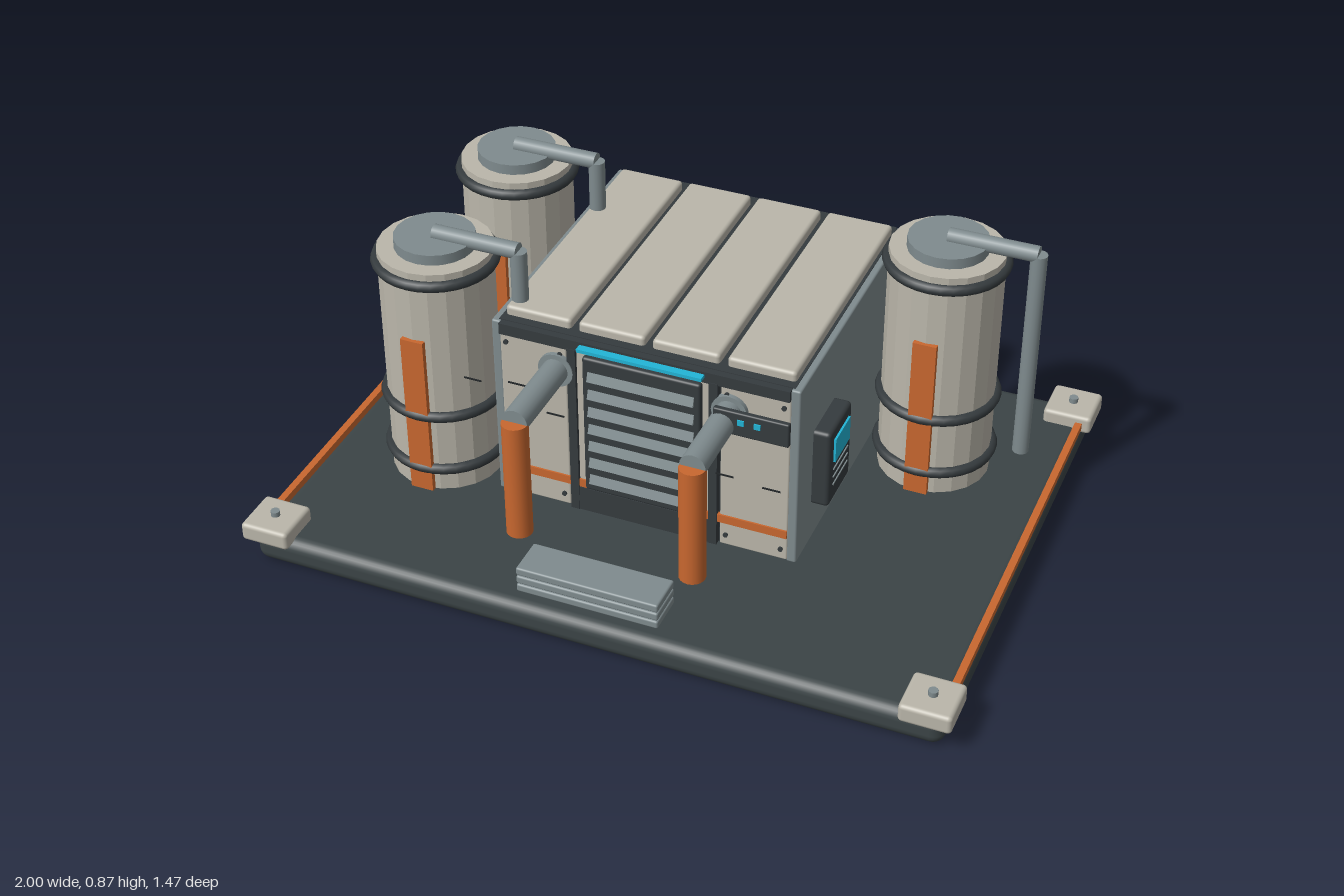
import * as THREE from 'three';
import { RoundedBoxGeometry } from 'three/addons/geometries/RoundedBoxGeometry.js';

const mat = (color, flatShading = false) => new THREE.MeshStandardMaterial({ color, flatShading });
const M = {
  deck: mat(0x3b4446), dark: mat(0x353b3e), black: mat(0x222628), beige: mat(0xbab6aa),
  tank: mat(0xbab6aa, true), grey: mat(0x7f8b8e), orange: mat(0xc8672f), cyan: mat(0x22b5d6),
};

function add(parent, name, geometry, material, x = 0, y = 0, z = 0) {
  const mesh = new THREE.Mesh(geometry, material);
  mesh.name = name;
  mesh.position.set(x, y, z);
  parent.add(mesh);
  return mesh;
}

// Box given by its extents on each axis; r > 0 rounds the edges
function box(parent, name, material, [x0, x1], [y0, y1], [z0, z1], r = 0) {
  const s = [x1 - x0, y1 - y0, z1 - z0];
  const g = r ? new RoundedBoxGeometry(...s, 3, r) : new THREE.BoxGeometry(...s);
  return add(parent, name, g, material, (x0 + x1) / 2, (y0 + y1) / 2, (z0 + z1) / 2);
}

// Cylinder between two points
function rod(parent, name, material, a, b, r, sides = 16) {
  const p = new THREE.Vector3(...a), q = new THREE.Vector3(...b);
  const mesh = add(parent, name, new THREE.CylinderGeometry(r, r, p.distanceTo(q), sides), material);
  mesh.position.copy(p).lerp(q, 0.5);
  mesh.quaternion.setFromUnitVectors(new THREE.Vector3(0, 1, 0), q.sub(p).normalize());
  return mesh;
}

function createBase() {
  const g = new THREE.Group();
  g.name = 'base';
  box(g, 'deck', M.deck, [-0.975, 0.975], [0, 0.09], [-0.715, 0.715], 0.035);
  for (const sx of [-1, 1]) {
    box(g, 'edgeStrip', M.orange, [sx * 0.965 - 0.01, sx * 0.965 + 0.01], [0.088, 0.11], [-0.62, 0.62]);
    for (const sz of [-1, 1]) {
      const x = sx * 0.93, z = sz * 0.665;
      box(g, 'cornerBlock', M.beige, [x - 0.07, x + 0.07], [0.075, 0.13], [z - 0.07, z + 0.07], 0.012);
      rod(g, 'cornerBolt', M.grey, [x, 0.125, z], [x, 0.145, z], 0.013, 10);
    }
  }
  // Stacked step slabs
  for (let i = 0; i < 3; i++) {
    const y = 0.113 + i * 0.027;
    box(g, 'step', M.grey, [-0.2, 0.2], [y, y + 0.024], [0.572, 0.685], 0.006);
  }
  return g;
}

function createTank(x, z) {
  const g = new THREE.Group();
  g.name = 'tank';
  g.position.set(x, 0, z);
  rod(g, 'tankBody', M.tank, [0, 0.11, 0], [0, 0.81, 0], 0.157, 20);
  rod(g, 'tankCap', M.grey, [0, 0.81, 0], [0, 0.84, 0], 0.11, 20);
  for (const y of [0.18, 0.355, 0.775]) {
    const band = add(g, 'tankBand', new THREE.TorusGeometry(0.158, 0.016, 8, 32), M.dark, 0, y, 0);
    band.rotation.x = Math.PI / 2;
  }
  box(g, 'tankStripe', M.orange, [-0.033, 0.033], [0.11, 0.6], [0.145, 0.167]);
  rod(g, 'topPipe', M.grey, [0, 0.845, 0], [0.245, 0.845, 0], 0.023);
  rod(g, 'downPipe', M.grey, [0.245, 0.845, 0], [0.245, 0.21, 0], 0.023);
  return g;
}

function createHousing() {
  const g = new THREE.Group();
  g.name = 'housing';
  box(g, 'core', M.dark, [-0.415, 0.415], [0.112, 0.67], [-0.53, 0.29]);
  for (const s of [-1, 1]) {
    box(g, 'sideWall', M.grey, [s * 0.42 - 0.014, s * 0.42 + 0.014], [0.11, 0.668], [-0.54, 0.3], 0.006);
  }
  // Four bays: roof slab, back panel and, on the outer bays, a front panel
  for (let i = 0; i < 4; i++) {
    const x = (i - 1.5) * 0.209, w = 0.096;
    const outer = i === 0 || i === 3;
    box(g, 'roofPanel', M.beige, [x - 0.094, x + 0.094], [0.66, 0.697], [-0.505, 0.265], 0.011);
    box(g, 'backPanel', M.beige, [x - w, x + w], [0.115, 0.64], [-0.542, -0.525], 0.005);
    box(g, 'frontPanel', M.beige, [x - w, x + w], [0.115, 0.64], [0.28, 0.302], 0.005);
    box(g, 'backStripe', M.orange, [x - w, x + w], [0.185, 0.215], [-0.545, -0.535]);
    for (const dx of [-0.078, 0.078]) for (const y of [0.15, 0.61]) {
      rod(g, 'panelBolt', M.dark, [x + dx, y, -0.549], [x + dx, y, -0.53], 0.007, 8);
      if (outer) rod(g, 'panelBolt', M.dark, [x + dx, y, 0.29], [x + dx, y, 0.308], 0.007, 8);
    }
  }
  box(g, 'frontStripe', M.orange, [-0.408, 0.408], [0.19, 0.215], [0.295, 0.307]);
  box(g, 'frontHeader', M.dark, [-0.408, 0.408], [0.635, 0.668], [0.28, 0.31]);
  box(g, 'backHeader', M.dark, [-0.408, 0.408], [0.642, 0.668], [-0.54, -0.52]);
  box(g, 'lightBar', M.cyan, [-0.175, 0.175], [0.651, 0.661], [0.3, 0.332]);
  for (const s of [-1, 1]) {
    box(g, 'frontPost', M.dark, [s * 0.2 - 0.012, s * 0.2 + 0.012], [0.115, 0.64], [0.29, 0.312]);
  }

  // Louvred door
  box(g, 'louvreFrame', M.dark, [-0.167, 0.167], [0.195, 0.628], [0.29, 0.318], 0.008);
  for (let i = 0; i < 7; i++) {
    const slat = box(g, 'louvreSlat', M.grey, [-0.15, 0.15], [0.222 + i * 0.056, 0.25 + i * 0.056], [0.312, 0.324]);
    slat.rotation.x = -0.35;
  }
  box(g, 'louvreSill', M.dark, [-0.2, 0.2], [0.115, 0.19], [0.29, 0.31]);

  // Indicator box and fine marks held ahead of the front
  box(g, 'indicatorBox', M.dark, [0.222, 0.43], [0.54, 0.612], [0.355, 0.372], 0.005);
  for (const x of [0.3, 0.345]) {
    box(g, 'indicatorLight', M.cyan, [x - 0.009, x + 0.009], [0.577, 0.593], [0.37, 0.376]);
  }
  for (const [x, y] of [[-0.33, 0.41], [-0.23, 0.45], [0.22, 0.49], [0.38, 0.38], [0.25, 0.39], [-0.47, 0.5], [-0.34, 0.52]]) {
    box(g, 'surfaceMark', M.black, [x - 0.025, x + 0.025], [y - 0.002, y + 0.002], [0.352, 0.355]);
  }

  // Control panel on the left wall
  box(g, 'controlPanel', M.dark, [0.425, 0.482], [0.232, 0.472], [0.022, 0.192], 0.012);
  box(g, 'controlScreen', M.cyan, [0.475, 0.488], [0.367, 0.44], [0.05, 0.164]);
  for (let i = 0; i < 3; i++) {
    const y = 0.29 + i * 0.025;
    box(g, 'controlSlot', M.grey, [0.475, 0.485], [y, y + 0.004], [0.05, 0.164]);
  }
  return g;
}

function createFrontPipe(x) {
  const g = new THREE.Group();
  g.name = 'frontPipe';
  rod(g, 'outletPipe', M.grey, [x, 0.563, 0.28], [x, 0.563, 0.562], 0.036, 20);
  rod(g, 'pipeCollar', M.grey, [x, 0.563, 0.295], [x, 0.563, 0.315], 0.05, 20);
  rod(g, 'dropPipe', M.orange, [x, 0.21, 0.56], [x, 0.562, 0.56], 0.036, 20);
  return g;
}

export function createModel() {
  const model = new THREE.Group();
  model.name = 'processingPlant';
  model.add(createBase(), createHousing());
  for (const [x, z] of [[-0.63, -0.28], [-0.63, 0.22], [0.63, -0.28]]) model.add(createTank(x, z));
  for (const x of [-0.245, 0.245]) model.add(createFrontPipe(x));
  return model;
}
